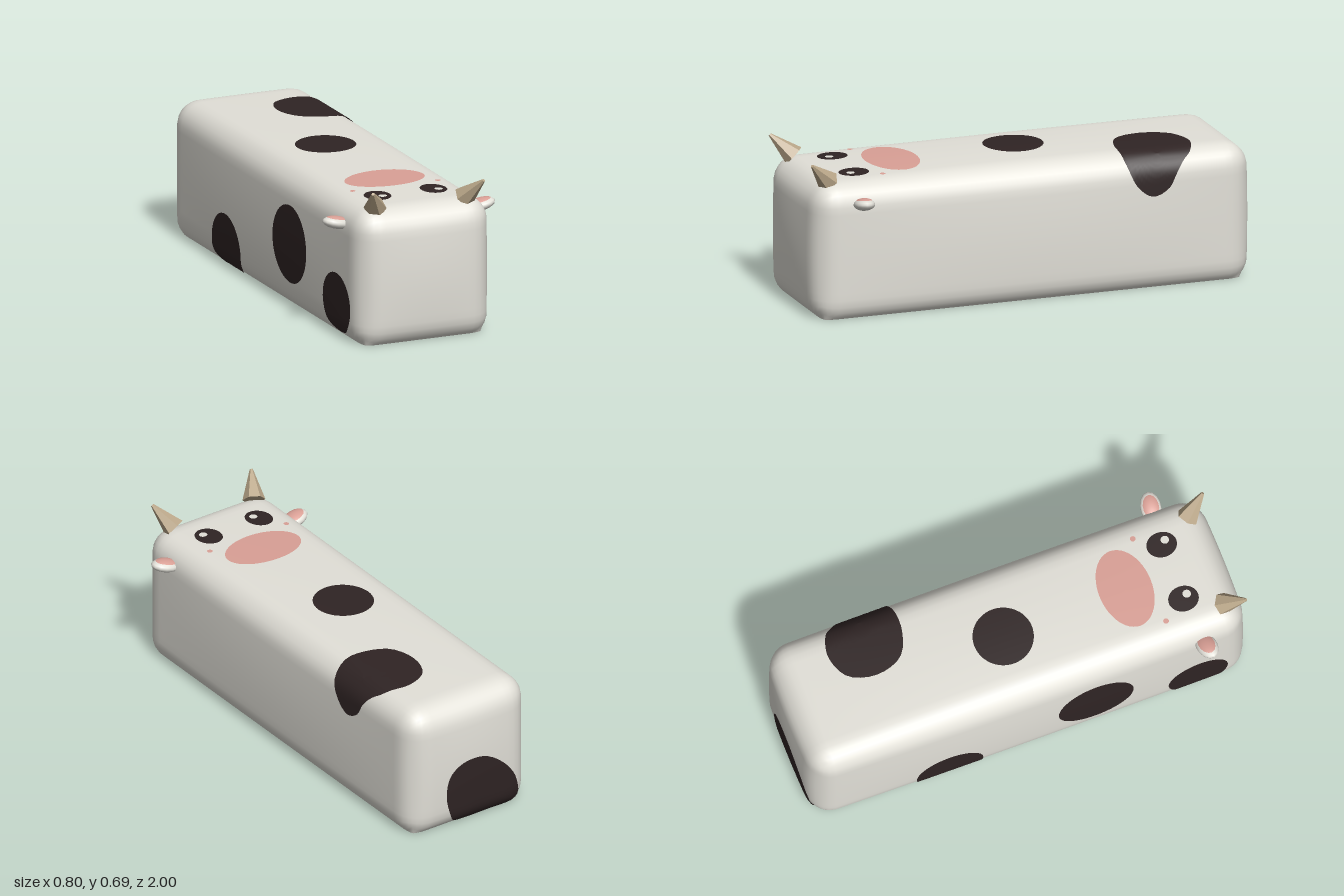
import * as THREE from 'three';
import { mergeVertices } from 'three/addons/utils/BufferGeometryUtils.js';

// Body envelope: half width, top, half depth, edge radius, open lower rim
const A = 0.31, TOP = 0.59, C = 0.98, R = 0.1, RIM = -0.038;

const material = (name, color) => {
  const m = new THREE.MeshStandardMaterial({ color, side: THREE.DoubleSide });
  m.name = name;
  return m;
};

// Moves a point of the plain box onto the rounded, slightly bulging body
function snap(q, lift = 0) {
  q.y = Math.max(q.y, RIM);
  const clamp = THREE.MathUtils.clamp;
  const inner = new THREE.Vector3(
    clamp(q.x, R - A, A - R), clamp(q.y, 0.075, TOP - R), clamp(q.z, R - C, C - R));
  const dir = q.clone().sub(inner).normalize();
  const dome = (v) => Math.max(0, 1 - v * v);
  const bx = dome(q.x / A), by = dome((q.y - 0.28) / 0.3), bz = dome(q.z / C);
  const p = inner.addScaledVector(dir, R + lift);
  p.x += dir.x * 0.015 * by * bz;
  p.y += Math.max(dir.y, 0) * 0.013 * bx * bz;
  p.z += dir.z * 0.02 * bx * by;
  p.y = q.y < RIM + 0.001 ? 0 : Math.max(p.y, 0);
  return p;
}

// Hollow body without a floor
function bodyGeometry() {
  const box = new THREE.BoxGeometry(2 * A, TOP - RIM, 2 * C, 20, 20, 64);
  box.translate(0, (TOP + RIM) / 2, 0);
  const floor = box.groups[3];
  const index = Array.from(box.index.array);
  index.splice(floor.start, floor.count);
  box.setIndex(index);
  box.clearGroups();
  box.deleteAttribute('normal');
  box.deleteAttribute('uv');
  const geo = mergeVertices(box, 1e-4);
  const pos = geo.attributes.position;
  for (let i = 0; i < pos.count; i++) {
    const p = snap(new THREE.Vector3().fromBufferAttribute(pos, i));
    pos.setXYZ(i, p.x, p.y, p.z);
  }
  geo.computeVertexNormals();
  return geo;
}

// Ways to lay flat (u, v) outlines on the box
const onTop = (u, v) => u <= A
  ? new THREE.Vector3(u, TOP, v)
  : new THREE.Vector3(A, TOP - (u - A), v);
const onRight = (u, v) => new THREE.Vector3(-A, v, u);
const onBack = (u, v) => new THREE.Vector3(u, v, -C);

const ellipse = (cx, cy, rx, ry = rx) => Array.from({ length: 16 }, (_, i) => {
  const t = (i / 16) * Math.PI * 2;
  return [cx + rx * Math.cos(t), cy + ry * Math.sin(t)];
});

// Painted patch: rings from the middle to the outline, laid on the skin
function patchGeometry(outline, place, lift) {
  const N = 48, RINGS = 9;
  const curve = new THREE.CatmullRomCurve3(
    outline.map(([u, v]) => new THREE.Vector3(u, v, 0)), true);
  const edge = curve.getPoints(N).slice(0, N);
  const mid = edge.reduce((s, p) => s.add(p), new THREE.Vector3()).divideScalar(N);
  const verts = [], index = [];
  for (let r = 0; r <= RINGS; r++) {
    for (let i = 0; i < N; i++) {
      const f = mid.clone().lerp(edge[i], r / RINGS);
      verts.push(...snap(place(f.x, f.y), lift).toArray());
      if (r === RINGS) continue;
      const a = r * N + i, b = r * N + (i + 1) % N;
      if (r > 0) index.push(a, b, a + N);
      index.push(b, b + N, a + N);
    }
  }
  const geo = new THREE.BufferGeometry();
  geo.setAttribute('position', new THREE.Float32BufferAttribute(verts, 3));
  geo.setIndex(index);
  geo.computeVertexNormals();
  return geo;
}

export function createModel() {
  const model = new THREE.Group();
  model.name = 'cowBlock';
  const white = material('offWhite', 0xe2e0d8);
  const dark = material('darkBrown', 0x2f2424);
  const pink = material('pink', 0xdaa096);
  const tan = material('hornTan', 0xbba88a);

  const add = (name, geo, mat, parent = model) => {
    const mesh = new THREE.Mesh(geo, mat);
    mesh.name = name;
    parent.add(mesh);
    return mesh;
  };

  add('body', bodyGeometry(), white);

  // Each patch shows on the outside and on the inside of the shell
  const patch = (name, mat, outline, place, lift = 0.004) => {
    add(name, patchGeometry(outline, place, lift), mat);
    add(name + 'Inside', patchGeometry(outline, place, -lift), mat);
  };

  // Coat spots
  patch('middleSpot', dark, ellipse(-0.02, -0.02, 0.13), onTop);
  patch('shoulderSpot', dark, ellipse(0.75, 0.144, 0.135), onRight);
  patch('sideSpot', dark, ellipse(0.285, 0.282, 0.17), onRight);
  patch('hipSpot', dark, ellipse(-0.375, 0.09, 0.15), onRight);
  patch('rumpSpot', dark, [
    [0.05, 0.305], [0.115, 0.26], [0.135, 0.18], [0.12, 0.09], [0.07, 0.0], [-0.05, -0.03],
    [-0.17, -0.03], [-0.25, 0.0], [-0.235, 0.12], [-0.175, 0.218], [-0.06, 0.302]], onBack);
  patch('wrapSpot', dark, [
    [0.01, -0.58], [0.05, -0.7], [0.16, -0.745], [0.26, -0.72], [0.33, -0.68], [0.4, -0.635],
    [0.46, -0.6], [0.49, -0.53], [0.455, -0.47], [0.39, -0.43], [0.28, -0.41], [0.16, -0.41],
    [0.05, -0.46]], onTop);

  // Face painted on the top
  patch('muzzle', pink, ellipse(0, 0.54, 0.18, 0.115), onTop);
  for (const s of [1, -1]) {
    const side = s > 0 ? 'left' : 'right';
    patch(side + 'CheekDot', pink, ellipse(s * 0.198, 0.65, 0.012), onTop);
    patch(side + 'Eye', dark, ellipse(s * 0.13, 0.755, 0.057, 0.066), onTop);
    patch(side + 'EyeGlint', white, ellipse(s * 0.13 + 0.015, 0.775, 0.018), onTop, 0.007);

    // Horn leaning outward and forward
    const base = new THREE.Vector3(s * 0.207, 0.592, 0.9);
    const tip = new THREE.Vector3(s * 0.257, 0.681, 0.99);
    const axis = tip.clone().sub(base);
    const hornGeo = new THREE.CylinderGeometry(0.007, 0.049, axis.length(), 6);
    const horn = add(side + 'Horn', hornGeo.toNonIndexed(), tan);
    horn.geometry.computeVertexNormals();
    horn.position.copy(base).lerp(tip, 0.5);
    horn.quaternion.setFromUnitVectors(new THREE.Vector3(0, 1, 0), axis.normalize());

    // Ear with a pink inner face on top
    const ear = new THREE.Group();
    ear.name = side + 'Ear';
    ear.position.set(s * 0.333, 0.511, 0.783);
    ear.rotation.set(0, -s * 0.15, s * 0.22);
    add('earShell', new THREE.SphereGeometry(1, 14, 10), white, ear)
      .scale.set(0.068, 0.026, 0.045);
    add('earInner', new THREE.SphereGeometry(1, 14, 4, 0, Math.PI * 2, 0, 0.85), pink, ear)
      .scale.set(0.069, 0.028, 0.046);
    model.add(ear);
  }
  return model;
}
